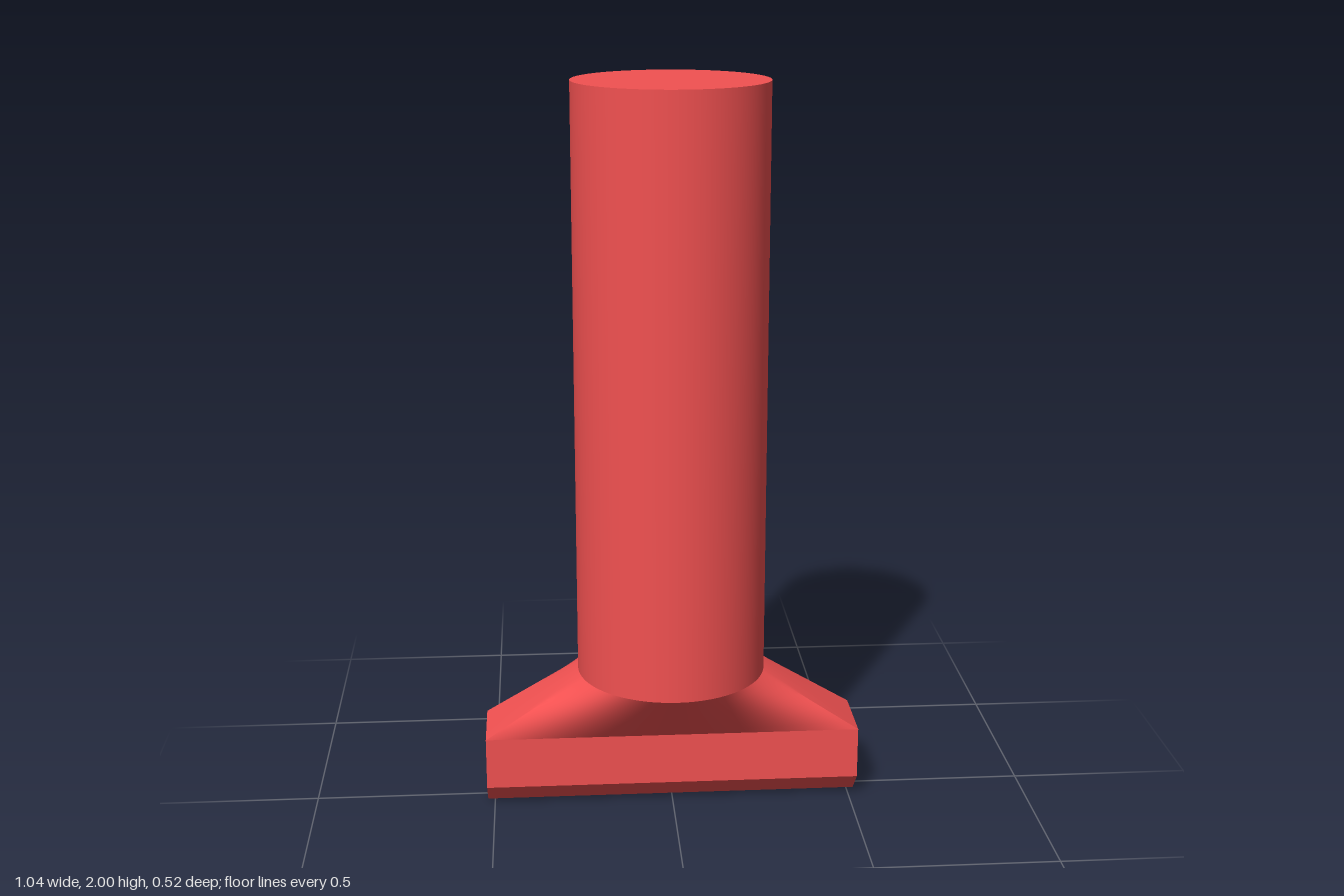
import * as THREE from 'three';
import { toCreasedNormals } from 'three/addons/utils/BufferGeometryUtils.js';

const HALF = 0.52;      // half length of the head
const JOIN = 0.21;      // top of the head
const NECK = 0.38;      // bottom of the pipe
const RADIUS = 0.26;

const material = new THREE.MeshStandardMaterial({ color: 0xf25151, side: THREE.DoubleSide });

function add(group, name, geometry) {
  const mesh = new THREE.Mesh(geometry, material);
  mesh.name = name;
  group.add(mesh);
  return mesh;
}

// Ruled transition from a rectangle (bottom) to a circle (top), 31 steps per quadrant
function rectToCircle(hw, hd, radius) {
  const q = 31, corner = 5, n = q * 4, rows = 8;
  const pos = [], index = [];
  for (let r = 0; r <= rows; r++) {
    const t = r / rows;
    for (let i = 0; i < n; i++) {
      const m = i % (2 * q), f = m > q ? 2 * q - m : m;
      const sx = i <= q || i >= 3 * q ? 1 : -1, sz = i <= 2 * q ? 1 : -1;
      const a = (f / q) * Math.PI / 2;
      const rx = f <= corner ? hw : hw * (q - f) / (q - corner);
      const rz = f <= corner ? hd * f / corner : hd;
      pos.push(
        sx * THREE.MathUtils.lerp(rx, radius * Math.cos(a), t),
        THREE.MathUtils.lerp(JOIN, NECK, t),
        sz * THREE.MathUtils.lerp(rz, radius * Math.sin(a), t)
      );
      if (r < rows) {
        const j = (i + 1) % n, b = r * n;
        index.push(b + i, b + n + i, b + j, b + j, b + n + i, b + n + j);
      }
    }
  }
  const g = new THREE.BufferGeometry();
  g.setAttribute('position', new THREE.Float32BufferAttribute(pos, 3));
  g.setIndex(index);
  return toCreasedNormals(g, 0.5);
}

// Extrudes a (z, y) profile along x between x0 and x1
function alongX(points, x0, x1) {
  const shape = new THREE.Shape(points.map(([z, y]) => new THREE.Vector2(-z, y)));
  return new THREE.ExtrudeGeometry(shape, { depth: x1 - x0, bevelEnabled: false })
    .rotateY(Math.PI / 2).translate(x0, 0, 0);
}

export function createModel() {
  const group = new THREE.Group();
  group.name = 'nozzle';

  // Pipe with its inner wall and flat top
  const height = 2 - NECK;
  add(group, 'pipe', new THREE.CylinderGeometry(RADIUS, RADIUS, height, 96, 1, true))
    .position.y = NECK + height / 2;
  add(group, 'pipeLining', new THREE.CylinderGeometry(0.225, 0.225, height - 0.04, 64, 1, true))
    .position.y = NECK + (height - 0.04) / 2;
  add(group, 'pipeTop', new THREE.CircleGeometry(RADIUS, 96).rotateX(-Math.PI / 2)).position.y = 2;

  // Flared neck, outside and inside
  add(group, 'neck', rectToCircle(HALF, 0.098, RADIUS));
  add(group, 'neckLining', rectToCircle(0.47, 0.063, 0.225));

  // Head walls around a slot in the slanted rear face
  const frontWall = [[0.098, JOIN], [0.098, 0.065], [0.035, 0], [0.011, 0.024], [0.065, 0.078], [0.065, JOIN]];
  const rearWall = [[-0.098, JOIN], [-0.098, 0.188], [-0.126, 0.161], [-0.101, 0.136], [-0.06, 0.177], [-0.06, JOIN]];
  add(group, 'frontWall', alongX(frontWall, -0.47, 0.47));
  add(group, 'rearWall', alongX(rearWall, -0.47, 0.47));

  // Closed ends of the head
  const end = [[0.098, JOIN], [0.098, 0.065], [0.035, 0], [-0.126, 0.161], [-0.098, 0.188], [-0.098, JOIN]];
  add(group, 'leftEnd', alongX(end, 0.47, HALF));
  add(group, 'rightEnd', alongX(end, -HALF, -0.47));

  return group;
}
